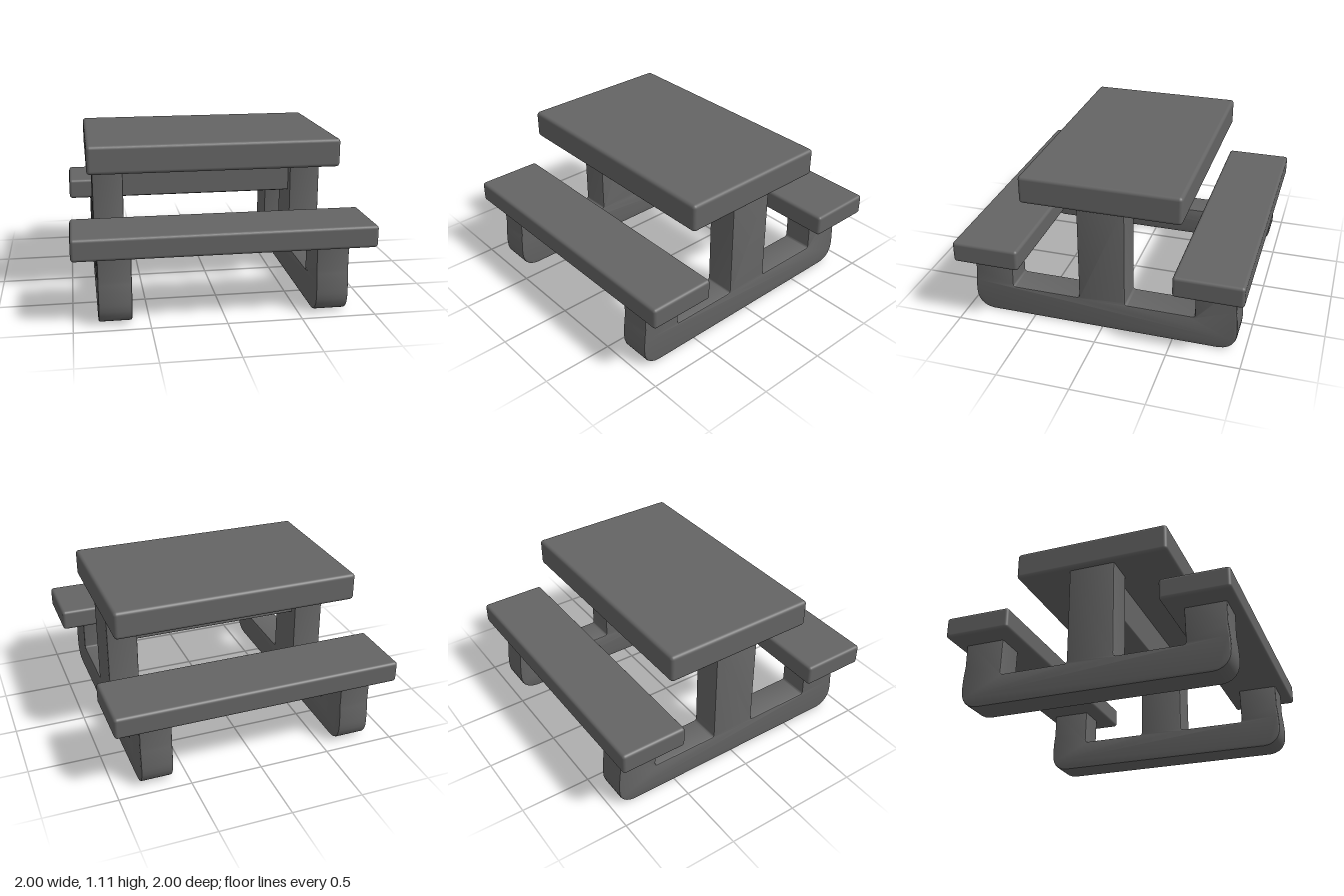
import * as THREE from 'three';
import { toCreasedNormals } from 'three/addons/utils/BufferGeometryUtils.js';
import { RoundedBoxGeometry } from 'three/addons/geometries/RoundedBoxGeometry.js';

// Rounded slab given by its [min, max] extents
function slab(name, [x0, x1], [y0, y1], [z0, z1], radius, material) {
  const mesh = new THREE.Mesh(new RoundedBoxGeometry(x1 - x0, y1 - y0, z1 - z0, 3, radius), material);
  mesh.position.set((x0 + x1) / 2, (y0 + y1) / 2, (z0 + z1) / 2);
  mesh.name = name;
  return mesh;
}

// Side frame: ground beam, central post and two upturned bench legs in one outline
function frameGeometry(width) {
  const bevel = 0.012;
  const s = new THREE.Shape();
  s.moveTo(-0.82, 0);
  s.lineTo(0.82, 0);
  s.bezierCurveTo(0.9, 0.005, 0.945, 0.06, 0.943, 0.14);
  s.quadraticCurveTo(0.942, 0.23, 0.93, 0.31);
  s.lineTo(0.93, 0.52);
  s.lineTo(0.645, 0.52);
  s.lineTo(0.652, 0.235);
  s.quadraticCurveTo(0.652, 0.217, 0.632, 0.217);
  s.lineTo(0.185, 0.217);
  s.quadraticCurveTo(0.165, 0.217, 0.165, 0.237);
  s.lineTo(0.165, 0.96);
  s.lineTo(-0.165, 0.96);
  s.lineTo(-0.165, 0.237);
  s.quadraticCurveTo(-0.165, 0.217, -0.185, 0.217);
  s.lineTo(-0.632, 0.217);
  s.quadraticCurveTo(-0.652, 0.217, -0.652, 0.235);
  s.lineTo(-0.645, 0.52);
  s.lineTo(-0.93, 0.52);
  s.lineTo(-0.93, 0.31);
  s.quadraticCurveTo(-0.942, 0.23, -0.943, 0.14);
  s.bezierCurveTo(-0.945, 0.06, -0.9, 0.005, -0.82, 0);
  const geometry = new THREE.ExtrudeGeometry(s, {
    depth: width - 2 * bevel,
    curveSegments: 6,
    bevelEnabled: true,
    bevelSize: bevel,
    bevelThickness: bevel,
    bevelOffset: -bevel,
    bevelSegments: 2,
  });
  geometry.translate(0, 0, bevel - width / 2);
  geometry.rotateY(-Math.PI / 2);
  return toCreasedNormals(geometry, 0.7);
}

export function createModel() {
  const group = new THREE.Group();
  group.name = 'picnicTable';
  const grey = new THREE.MeshStandardMaterial({ color: 0x646464 });
  grey.name = 'dark grey';

  group.add(slab('tableTop', [-0.875, 0.86], [0.915, 1.112], [-0.555, 0.553], 0.025, grey));

  // Benches
  group.add(slab('frontBench', [-1, 1], [0.47, 0.62], [0.53, 1], 0.022, grey));
  group.add(slab('backBench', [-1, 1], [0.47, 0.62], [-1, -0.53], 0.022, grey));

  // Beam under the top, joining the two posts
  group.add(slab('crossBeam', [-0.7, 0.7], [0.648, 0.95], [-0.11, 0.11], 0.012, grey));

  // Side frames
  const geometry = frameGeometry(0.22);
  for (const [name, x] of [['rightFrame', -0.725], ['leftFrame', 0.716]]) {
    const frame = new THREE.Mesh(geometry, grey);
    frame.name = name;
    frame.position.x = x;
    group.add(frame);
  }
  return group;
}
